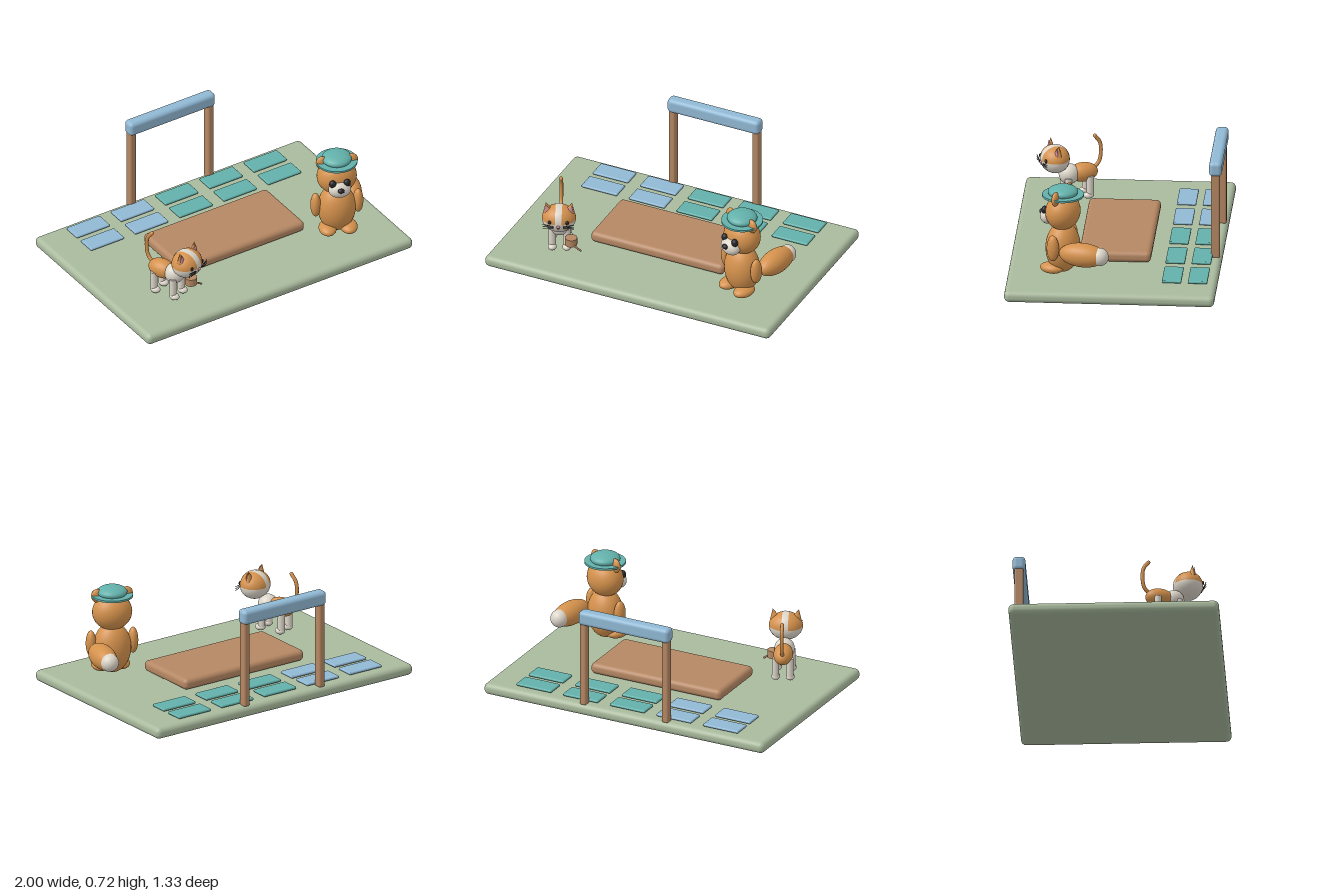
import * as THREE from 'three';
import { RoundedBoxGeometry } from 'three/addons/geometries/RoundedBoxGeometry.js';

const mat = (name, color, side = THREE.FrontSide) => {
  const m = new THREE.MeshStandardMaterial({ color, side });
  m.name = name;
  return m;
};

export function createModel() {
  const sage = mat('sage', 0xa9ba9d);
  const wood = mat('wood', 0xb58763);
  const blue = mat('sky blue', 0x90b8d4);
  const teal = mat('teal', 0x62b0aa);
  const orange = mat('orange fur', 0xd4914c);
  const cream = mat('cream fur', 0xdcd5c9, THREE.DoubleSide);
  const dark = mat('dark', 0x242429);
  const pink = mat('pink', 0xd08c98);

  const root = new THREE.Group();
  root.name = 'playground';

  const add = (parent, name, geo, material, x = 0, y = 0, z = 0) => {
    const m = new THREE.Mesh(geo, material);
    m.name = name;
    m.position.set(x, y, z);
    parent.add(m);
    return m;
  };
  const box = (name, material, w, h, d, r, x, y, z) =>
    add(root, name, new RoundedBoxGeometry(w, h, d, 4, r), material, x, y, z);
  const ball = (parent, name, material, rx, ry, rz, x, y, z) => {
    const m = add(parent, name, new THREE.SphereGeometry(1, 32, 24), material, x, y, z);
    m.scale.set(rx, ry, rz);
    return m;
  };
  // thin rod between two points
  const rod = (parent, name, material, r, a, b) => {
    const p = new THREE.Vector3(...a), q = new THREE.Vector3(...b);
    const m = add(parent, name, new THREE.CylinderGeometry(r, r, p.distanceTo(q), 10), material);
    m.position.copy(p).add(q).multiplyScalar(0.5);
    m.quaternion.setFromUnitVectors(new THREE.Vector3(0, 1, 0), q.clone().sub(p).normalize());
    return m;
  };
  const sides = [['left', 1], ['right', -1]];

  // ground slab, platform and gate
  box('ground', sage, 2, 0.075, 1.33, 0.033, 0, 0.0375, 0);
  box('platform', wood, 0.932, 0.073, 0.456, 0.03, 0, 0.118, 0);
  for (const [side, s] of sides)
    box(side + 'Post', wood, 0.045, 0.58, 0.057, 0.012, s * 0.293, 0.36, -0.626);
  box('beam', blue, 0.645, 0.096, 0.081, 0.026, 0, 0.67, -0.626);

  // two rows of stepping tiles
  for (let i = 0; i < 5; i++)
    for (const z of [-0.547, -0.382])
      box('tile', i < 2 ? blue : teal, 0.25, 0.018, 0.123, 0.008, (i - 2) / 3, 0.09, z);

  // standing fox
  const fox = new THREE.Group();
  fox.name = 'fox';
  fox.position.set(0.644, 0, 0.315);
  fox.rotation.y = -0.38;
  root.add(fox);
  ball(fox, 'foxBody', orange, 0.122, 0.165, 0.108, 0, 0.255, 0);
  ball(fox, 'foxHead', orange, 0.128, 0.118, 0.108, 0, 0.495, 0);
  ball(fox, 'foxMuzzle', cream, 0.073, 0.056, 0.052, 0, 0.455, 0.098);
  ball(fox, 'foxNose', dark, 0.022, 0.016, 0.016, 0, 0.472, 0.147);
  for (const [side, s] of sides) {
    ball(fox, side + 'FoxEye', dark, 0.023, 0.026, 0.02, s * 0.046, 0.503, 0.106);
    ball(fox, side + 'FoxEar', orange, 0.04, 0.046, 0.022, s * 0.096, 0.608, 0.005);
    ball(fox, side + 'FoxArm', orange, 0.033, 0.086, 0.04, s * 0.137, 0.29, 0.005);
    ball(fox, side + 'FoxFoot', orange, 0.056, 0.035, 0.078, s * 0.068, 0.128, 0.045);
  }
  const tail = new THREE.Group();
  tail.name = 'foxTail';
  tail.position.set(0.108, 0.268, -0.195);
  tail.rotation.y = 0.15;
  fox.add(tail);
  ball(tail, 'foxTailFur', orange, 0.077, 0.077, 0.155, 0, 0, 0.005);
  ball(tail, 'foxTailTip', cream, 0.057, 0.058, 0.057, 0, 0, -0.108);
  // hat
  add(fox, 'hatBrim', new THREE.CylinderGeometry(0.132, 0.132, 0.013, 40), teal, 0, 0.607, 0);
  ball(fox, 'hatCrown', teal, 0.096, 0.04, 0.096, 0, 0.629, 0);

  // walking cat
  const cat = new THREE.Group();
  cat.name = 'cat';
  cat.position.set(-0.63, 0, 0.32);
  cat.rotation.y = 0.4;
  root.add(cat);
  ball(cat, 'catBody', orange, 0.062, 0.062, 0.095, 0, 0.25, -0.045);
  ball(cat, 'catChest', cream, 0.064, 0.066, 0.066, 0, 0.25, 0.05);
  for (const [side, s] of sides)
    for (const [end, z] of [['Front', 0.07], ['Rear', -0.075]]) {
      add(cat, side + end + 'Leg', new THREE.CylinderGeometry(0.023, 0.023, 0.13, 18), cream, s * 0.046, 0.172, z);
      ball(cat, side + end + 'Paw', cream, 0.028, 0.022, 0.034, s * 0.046, 0.107, z + 0.01);
    }
  const curl = new THREE.CatmullRomCurve3(
    [[0.27, -0.115], [0.31, -0.15], [0.37, -0.162], [0.44, -0.155], [0.487, -0.122]]
      .map(([y, z]) => new THREE.Vector3(0, y, z)));
  add(cat, 'catTail', new THREE.TubeGeometry(curl, 30, 0.012, 12), orange);
  ball(cat, 'catTailTip', orange, 0.012, 0.012, 0.012, 0, 0.487, -0.122);

  // cat head: orange cap, cream lower half and a cream blaze
  const head = new THREE.Group();
  head.name = 'catHead';
  head.position.set(0, 0.365, 0.145);
  cat.add(head);
  const shell = (name, material, geo, k = 1) =>
    add(head, name, geo, material).scale.set(0.108 * k, 0.09 * k, 0.093 * k);
  shell('headCap', orange, new THREE.SphereGeometry(1, 32, 14, 0, Math.PI * 2, 0, Math.PI / 2));
  shell('headLower', cream, new THREE.SphereGeometry(1, 32, 14, 0, Math.PI * 2, Math.PI / 2, Math.PI / 2));
  shell('blaze', cream, new THREE.SphereGeometry(1, 32, 6, Math.PI / 2, Math.PI, Math.PI / 2 - 0.19, 0.38)
    .rotateZ(Math.PI / 2), 1.015);
  ball(head, 'catNose', pink, 0.011, 0.008, 0.008, 0, -0.012, 0.094);
  ball(head, 'catMouth', dark, 0.008, 0.004, 0.005, 0, -0.026, 0.09);
  for (const [side, s] of sides) {
    const ear = add(head, side + 'CatEar', new THREE.ConeGeometry(0.034, 0.07, 20), orange, s * 0.075, 0.08, 0);
    ear.scale.z = 0.6;
    ear.rotation.z = -s * 0.22;
    const inner = add(head, side + 'InnerEar', new THREE.ConeGeometry(0.024, 0.052, 20), pink, s * 0.075, 0.077, 0.012);
    inner.scale.z = 0.55;
    inner.rotation.z = -s * 0.22;
    ball(head, side + 'CatEye', dark, 0.012, 0.014, 0.008, s * 0.056, 0.01, 0.078);
    for (const k of [-1, 0, 1])
      rod(head, side + 'Whisker', dark, 0.002,
        [s * 0.03, -0.018 + k * 0.006, 0.09], [s * 0.1, -0.014 + k * 0.014, 0.085]);
  }

  // small wooden cup with a handle beside the cat
  add(root, 'cup', new THREE.CylinderGeometry(0.039, 0.039, 0.05, 24), wood, -0.512, 0.179, 0.405);
  rod(root, 'cupHandle', wood, 0.006, [-0.49, 0.165, 0.425], [-0.437, 0.127, 0.412]);

  return root;
}
